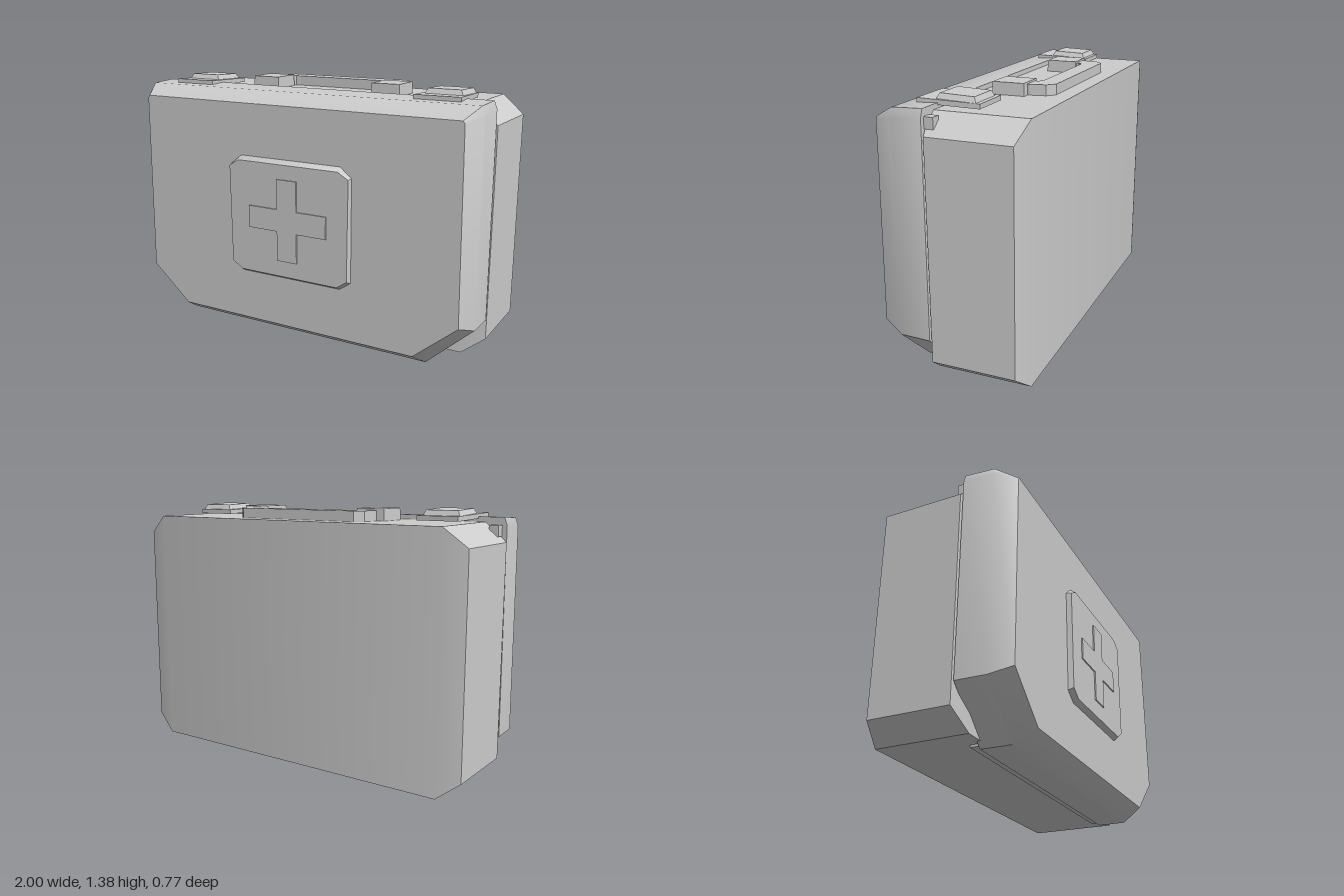
import * as THREE from 'three';
import { toCreasedNormals } from 'three/addons/utils/BufferGeometryUtils.js';

const grey = new THREE.MeshStandardMaterial({ color: 0xcccccc });
grey.name = 'case grey';

// Full eight-point ring from four points of the +x half, bottom to top
const ring = (half, z) => {
  const right = half.map(([x, y, pz]) => [x, y, pz ?? z]);
  return [...right, ...right.map(([x, y, pz]) => [-x, y, pz]).reverse()];
};

// Skin a list of rings running from back to front, with both ends closed
function loft(rings) {
  const index = [];
  const quad = (a, b, c, d) => index.push(a, b, c, a, c, d);
  for (let r = 0; r < rings.length - 1; r++) {
    for (let i = 0; i < 8; i++) {
      const j = (i + 1) % 8;
      quad(r * 8 + i, r * 8 + j, r * 8 + 8 + j, r * 8 + 8 + i);
    }
  }
  const last = (rings.length - 1) * 8;
  for (const [a, b, c, d] of [[0, 1, 2, 3], [0, 3, 4, 7], [4, 5, 6, 7]]) {
    quad(d, c, b, a);
    quad(last + a, last + b, last + c, last + d);
  }
  const g = new THREE.BufferGeometry();
  g.setAttribute('position', new THREE.Float32BufferAttribute(rings.flat(2), 3));
  g.setIndex(index);
  return toCreasedNormals(g, 0.65);
}

const shapeOf = (pts) => new THREE.Shape(pts.map(([x, y]) => new THREE.Vector2(x, y)));
const extrude = (pts, depth) => new THREE.ExtrudeGeometry(shapeOf(pts), { depth, bevelEnabled: false });

// Box whose top face is scaled inwards
function taperedBox(w, h, d, taper) {
  const g = new THREE.BoxGeometry(w, h, d).toNonIndexed();
  const p = g.attributes.position;
  for (let i = 0; i < p.count; i++) {
    if (p.getY(i) > 0) p.setXYZ(i, p.getX(i) * taper, p.getY(i), p.getZ(i) * taper);
  }
  g.computeVertexNormals();
  return g;
}

export function createModel() {
  const model = new THREE.Group();
  model.name = 'firstAidCase';
  const add = (name, geometry, x = 0, y = 0, z = 0, parent = model) => {
    const m = new THREE.Mesh(geometry, grey);
    m.name = name;
    m.position.set(x, y, z);
    parent.add(m);
    return m;
  };

  // Rear half: side edges sit inside the top and bottom edges
  const body = (inner, side) => ring([[0.88, 0.028, inner], [1, 0.12, side], [1, 1.22, side], [0.88, 1.315, inner]]);
  add('rearShell', loft([body(-0.385, -0.355), body(0.1, 0.072)]));

  // Front half with large lower corner cuts and a bevelled front
  add('frontLid', loft([
    ring([[0.75, 0], [1, 0.23], [0.995, 1.3], [0.98, 1.34]], 0.083),
    ring([[0.745, 0], [0.995, 0.23], [0.99, 1.29], [0.975, 1.333]], 0.24),
    ring([[0.715, 0.07], [0.95, 0.27], [0.935, 1.262], [0.925, 1.275]], 0.35),
  ]));

  // Raised badge and its cross
  add('badge', loft([
    ring([[0.3, 0.345], [0.365, 0.39], [0.365, 0.945], [0.3, 1.0]], 0.345),
    ring([[0.295, 0.365], [0.355, 0.405], [0.36, 0.94], [0.3, 0.975]], 0.378),
  ]));
  const [a, b, c] = [0.06, 0.235, 0.222];
  add('badgeCross', extrude([[a, -c], [a, -a], [b, -a], [b, a], [a, a], [a, c],
    [-a, c], [-a, a], [-b, a], [-b, -a], [-a, -a], [-a, -c]], 0.007), 0, 0.675, 0.378);

  // Carrying handle lying flat on the rear half
  const outer = [[0.4, 0.1], [0.41, 0.18], [0.395, 0.26], [0.355, 0.297]];
  const inner = [[0.3, 0.1], [0.31, 0.18], [0.295, 0.2], [0.265, 0.203]];
  const mirror = (pts) => pts.map(([x, y]) => [-x, y]);
  const grip = extrude([...outer, ...mirror(outer).reverse(), ...mirror(inner), ...[...inner].reverse()], 0.053);
  grip.rotateX(-Math.PI / 2);
  add('handleGrip', grip, 0, 1.315, 0);

  for (const s of [-1, 1]) {
    const side = s > 0 ? 'left' : 'right';
    // Handle mounts
    add(side + 'HandleMount', taperedBox(0.165, 0.07, 0.17, 0.96), s * 0.37, 1.342, -0.085);

    // Latch: plate bridging both halves with a raised button
    const latch = new THREE.Group();
    latch.name = side + 'Latch';
    latch.position.set(s * 0.73, 1.338, 0.035);
    latch.rotation.x = -0.035;
    model.add(latch);
    const plate = extrude([[-0.122 * s, -0.15], [0.122 * s, -0.15], [0.1 * s, 0.155], [-0.122 * s, 0.155]]
      .sort((p, q) => Math.atan2(p[1], p[0]) - Math.atan2(q[1], q[0])), 0.024);
    plate.rotateX(-Math.PI / 2);
    add('latchPlate', plate, 0, -0.01, 0, latch);
    add('latchButton', taperedBox(0.2, 0.028, 0.2, 0.86), 0, 0.026, -0.035, latch);

    // Small hinge lug at the seam
    add(side + 'SeamLug', new THREE.BoxGeometry(0.05, 0.055, 0.055), s * 0.945, 1.275, 0.065);
  }

  // Low rail under the seam
  add('bottomRail', new THREE.BoxGeometry(1.5, 0.02, 0.05), 0, 0.026, 0.058);
  return model;
}
